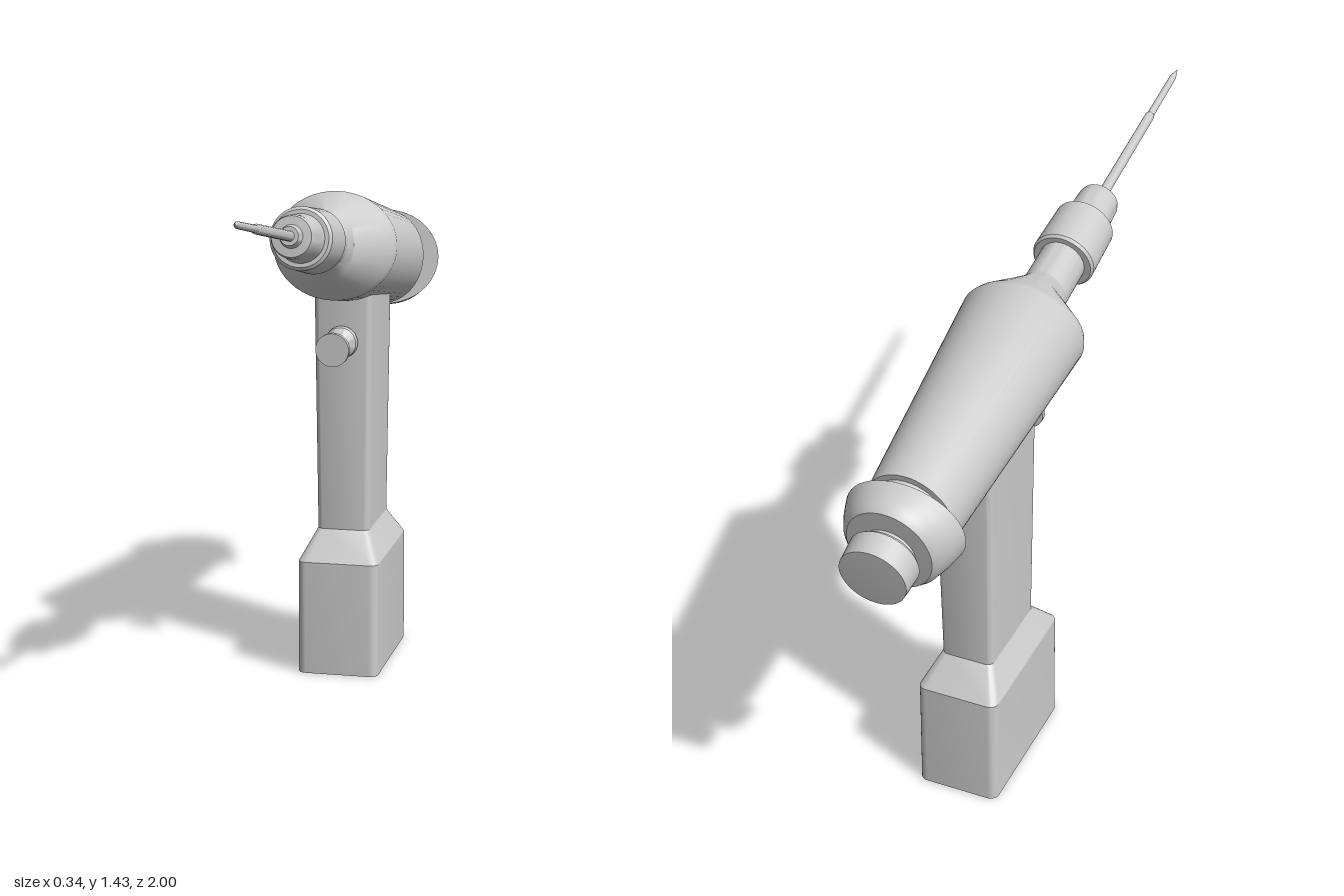
import * as THREE from 'three';
import { toCreasedNormals } from 'three/addons/utils/BufferGeometryUtils.js';

const material = new THREE.MeshStandardMaterial({ color: 0xcccccc });

function addMesh(parent, name, geometry, crease = 0.5) {
  const mesh = new THREE.Mesh(toCreasedNormals(geometry, crease), material);
  mesh.name = name;
  parent.add(mesh);
  return mesh;
}

// Turned part with oval sections. Rows run front to back: [distance behind the tip, half width, half height]
function turned(rows, sides = 40) {
  const rings = [...rows].reverse();
  const points = rings.map(([s, rx]) => new THREE.Vector2(rx, -s));
  const geometry = new THREE.LatheGeometry(points, sides);
  const pos = geometry.attributes.position;
  for (let i = 0; i < pos.count; i++) {
    const [, rx, ry = rx] = rings[i % rings.length];
    if (rx > 0) pos.setZ(i, pos.getZ(i) * ry / rx);
  }
  return geometry;
}

// Rounded rectangle outline at height y, centred on z
function section(y, halfX, zBack, zFront, radius) {
  const ring = [];
  const midZ = (zBack + zFront) / 2, halfZ = (zFront - zBack) / 2;
  const corners = [[1, 1], [-1, 1], [-1, -1], [1, -1]];
  corners.forEach(([sx, sz], c) => {
    for (let k = 0; k <= 6; k++) {
      const a = (c + k / 6) * Math.PI / 2;
      ring.push(new THREE.Vector3(
        sx * (halfX - radius) + radius * Math.cos(a), y,
        midZ + sz * (halfZ - radius) + radius * Math.sin(a)));
    }
  });
  return ring;
}

// Skin through stacked sections, closed at both ends
function loft(rings) {
  const verts = [];
  const tri = (...ps) => ps.forEach(p => verts.push(p.x, p.y, p.z));
  const n = rings[0].length;
  const last = rings[rings.length - 1];
  for (let j = 0; j < n; j++) {
    const k = (j + 1) % n;
    for (let i = 0; i < rings.length - 1; i++) {
      const a = rings[i], b = rings[i + 1];
      tri(a[j], b[j], b[k]);
      tri(a[j], b[k], a[k]);
    }
    if (j > 0 && j < n - 1) {
      tri(rings[0][0], rings[0][j], rings[0][k]);
      tri(last[0], last[k], last[j]);
    }
  }
  const geometry = new THREE.BufferGeometry();
  geometry.setAttribute('position', new THREE.Float32BufferAttribute(verts, 3));
  return geometry;
}

export function createModel() {
  const model = new THREE.Group();
  model.name = 'drill';

  // Everything turned shares one axis, tilted up toward the front
  const head = new THREE.Group();
  head.name = 'head';
  head.position.set(0, 1.425, 1);
  head.rotation.x = Math.PI / 2 - 0.191;
  model.add(head);

  addMesh(head, 'bit', turned([
    [0, 0], [0.035, 0.009], [0.21, 0.01], [0.215, 0.013], [0.6, 0.014],
  ], 16));
  addMesh(head, 'chuckJaw', turned([
    [0.562, 0], [0.562, 0.024], [0.585, 0.03], [0.587, 0.052], [0.6, 0.056],
    [0.65, 0.058], [0.695, 0.064], [0.7, 0],
  ]));
  addMesh(head, 'chuckSleeve', turned([
    [0.69, 0], [0.69, 0.074], [0.697, 0.082], [0.84, 0.086], [0.848, 0.08], [0.848, 0],
  ]));
  addMesh(head, 'neck', turned([
    [0.84, 0.062, 0.066], [1.03, 0.063, 0.07],
  ]));
  addMesh(head, 'body', turned([
    [0.965, 0, 0], [0.965, 0.06, 0.066], [1.015, 0.072, 0.097], [1.095, 0.163, 0.14],
    [1.112, 0.17, 0.147], [1.803, 0.118, 0.137], [1.803, 0, 0],
  ], 48));
  addMesh(head, 'rearCore', turned([[1.79, 0.105, 0.12], [1.84, 0.105, 0.12]]));
  addMesh(head, 'rearCap', turned([
    [1.827, 0, 0], [1.827, 0.158, 0.138], [1.87, 0.144, 0.139], [1.905, 0.128, 0.136],
    [1.922, 0.112, 0.126], [1.924, 0, 0],
  ], 48));
  addMesh(head, 'knobNeck', turned([[1.91, 0.07], [1.96, 0.07]]));
  addMesh(head, 'knob', turned([
    [1.94, 0], [1.94, 0.084], [1.95, 0.092], [2.015, 0.088], [2.018, 0],
  ]));

  // Battery foot, sloped shoulder and grip in one skin
  addMesh(model, 'handle', loft([
    section(0, 0.113, -0.545, -0.118, 0.024),
    section(0.32, 0.113, -0.54, -0.12, 0.024),
    section(0.4, 0.073, -0.47, -0.195, 0.02),
    section(1.11, 0.081, -0.478, -0.183, 0.02),
  ]), 0.4);

  // Push trigger: flat button, thin stem and rounded collar
  const trigger = addMesh(model, 'trigger', turned([
    [0, 0], [0, 0.046], [0.016, 0.046], [0.02, 0.016], [0.085, 0.017], [0.095, 0.03],
    [0.107, 0.043], [0.125, 0.045], [0.15, 0.036], [0.15, 0],
  ], 28));
  trigger.position.set(0, 0.935, -0.053);
  trigger.rotation.x = Math.PI / 2;

  return model;
}
